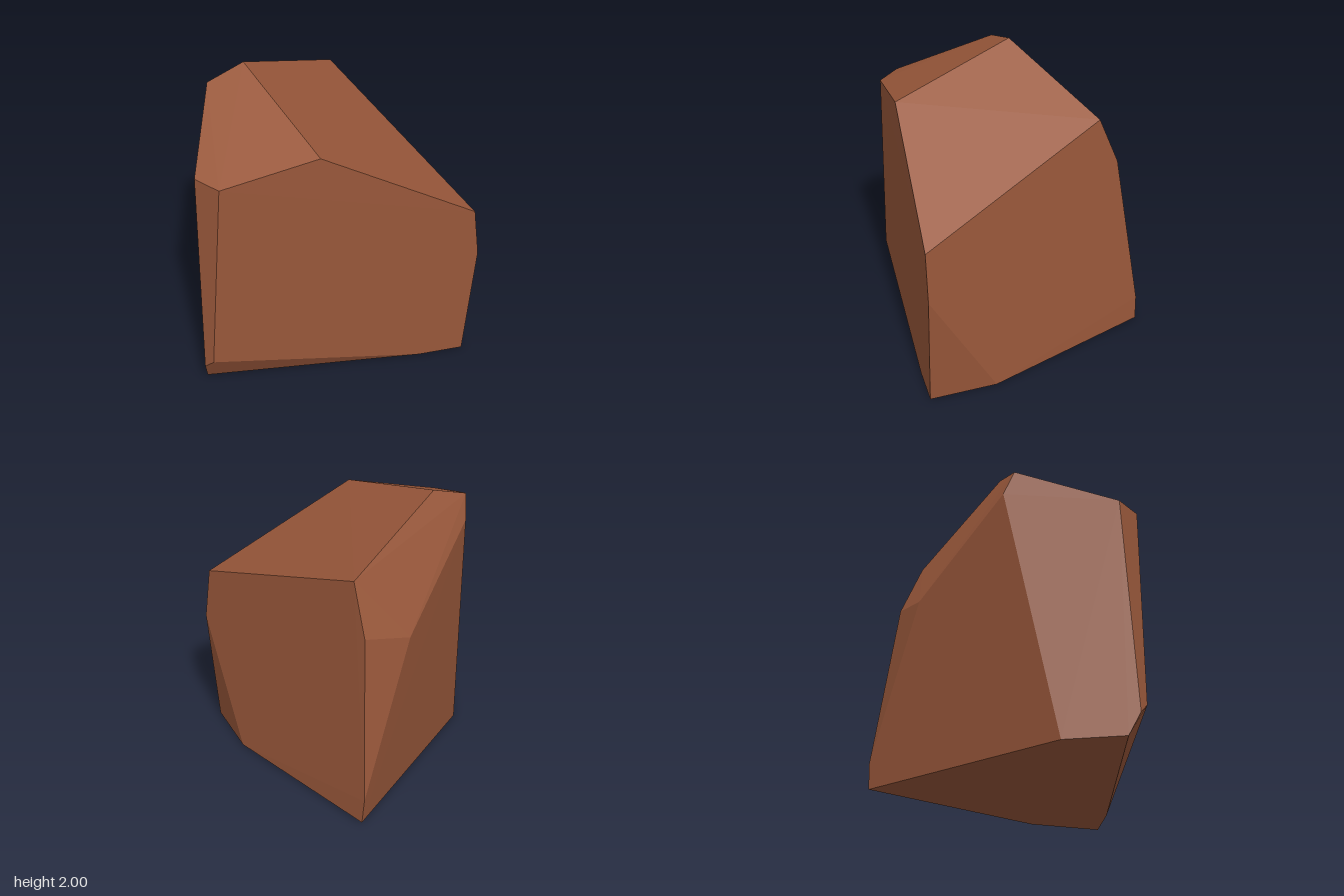
import * as THREE from 'three';
import { ConvexGeometry } from 'three/addons/geometries/ConvexGeometry.js';

export function createModel() {
  const group = new THREE.Group();
  group.name = 'boulder';
  const brownStone = new THREE.MeshStandardMaterial({ color: 0x98573a });
  brownStone.name = 'brownStone';

  // Corners of the cut stone, as [x, y, z]
  const corners = [
    // sloping top
    [-0.67, 2, 0], [-0.12, 1.76, 0.74], [0.87, 1.18, 0.46], [-0.14, 1.65, -0.64],
    [-0.895, 1.92, 0.135], [-0.74, 1.62, 0.92], [-0.905, 1.635, 0.82],
    // bevels on the left, back and right sides
    [-0.895, 1.76, 0.06], [-0.51, 1.21, -0.57], [-0.21, 1.3, -0.77], [0.905, 0.83, 0.445],
    // lower bevels
    [-0.84, 0.22, 0.945], [-0.905, 0.15, 0.91], [-0.215, 0.18, -0.945],
    // base
    [-0.905, 0, 0.83], [0.54, 0, 0.55], [0.83, 0, 0.46],
    [0.64, 0, 0.02], [-0.2, 0.01, -0.945], [-0.905, 0, 0.42],
  ];
  const stone = new THREE.Mesh(
    new ConvexGeometry(corners.map((c) => new THREE.Vector3(...c))), brownStone);
  stone.name = 'facetedStone';
  group.add(stone);
  return group;
}
